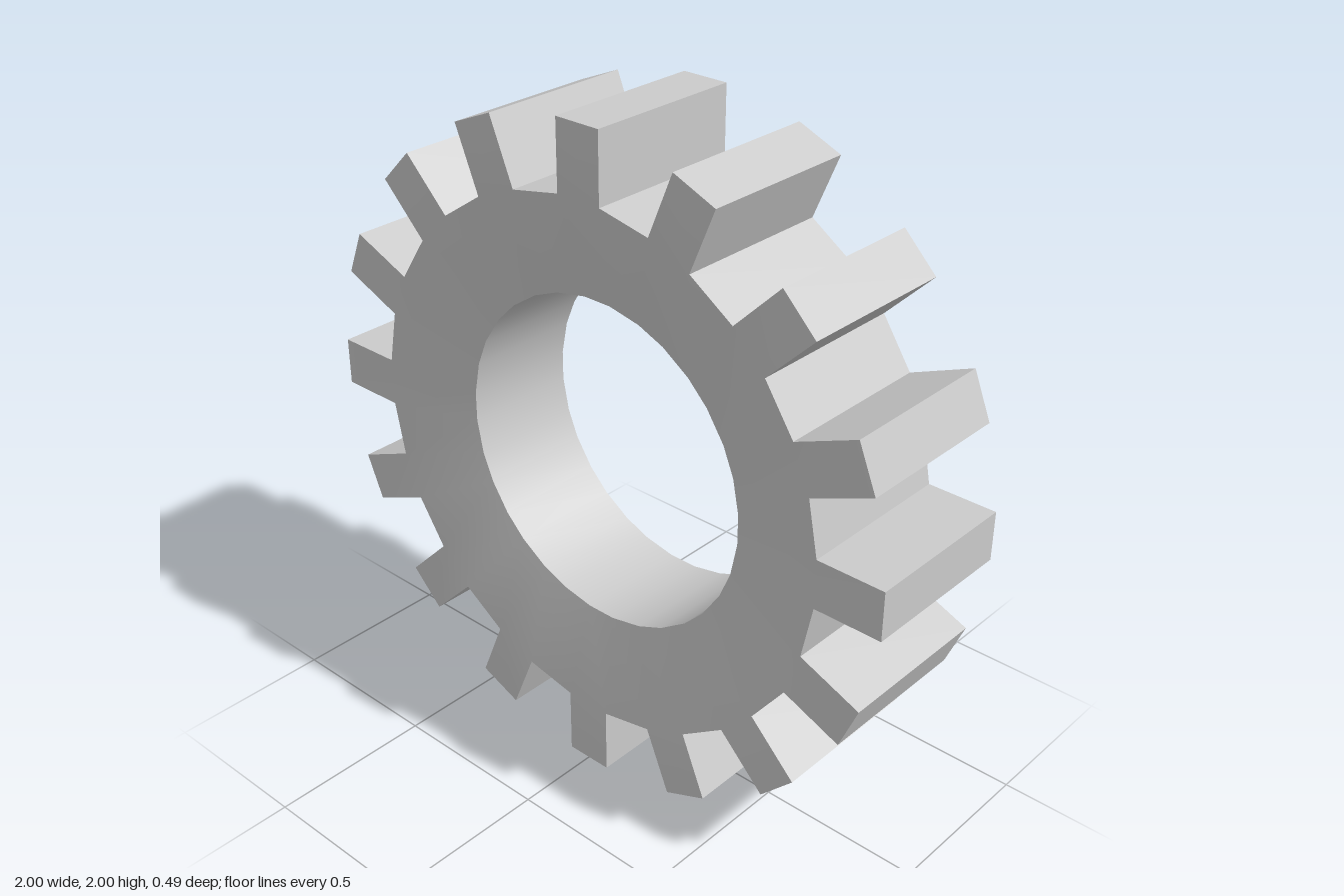
import * as THREE from 'three';
import { toCreasedNormals } from 'three/addons/utils/BufferGeometryUtils.js';

const TEETH = 16;
const TIP = 1, ROOT = 0.795, HALF_TOOTH = 0.073; // tooth radii and half width
const BORE = 0.498;                              // hole radius
const RIM_Z = 0.2425, BORE_Z = 0.18;             // half thickness at teeth and at hole

export function createModel() {
  const positions = [];
  const quad = (a, b, c, d) => {
    for (const p of [a, b, c, a, c, d]) positions.push(p.x, p.y, p.z);
  };
  const back = (p) => new THREE.Vector3(p.x, p.y, -p.z);
  // face on the front, mirrored onto the back
  const bothFaces = (a, b, c, d) => {
    quad(a, b, c, d);
    quad(back(d), back(c), back(b), back(a));
  };
  // wall from front to back between two neighbouring outline points
  const wall = (p, q) => quad(back(p), back(q), q, p);

  const rootAngle = Math.atan2(HALF_TOOTH, ROOT);
  const axis = new THREE.Vector3(0, 0, 1);

  // front corner points of one tooth segment
  const segment = (i) => {
    const angle = (i * Math.PI * 2) / TEETH;
    const point = (x, y, z) => new THREE.Vector3(x, y, z).applyAxisAngle(axis, angle);
    const bx = BORE * Math.cos(rootAngle), by = BORE * Math.sin(rootAngle);
    return {
      tip: [point(TIP, -HALF_TOOTH, RIM_Z), point(TIP, HALF_TOOTH, RIM_Z)],
      root: [point(ROOT, -HALF_TOOTH, RIM_Z), point(ROOT, HALF_TOOTH, RIM_Z)],
      bore: [point(bx, -by, BORE_Z), point(bx, by, BORE_Z)],
    };
  };

  for (let i = 0; i < TEETH; i++) {
    const s = segment(i), n = segment((i + 1) % TEETH);
    // tooth
    bothFaces(s.root[0], s.tip[0], s.tip[1], s.root[1]);
    wall(s.root[0], s.tip[0]);
    wall(s.tip[0], s.tip[1]);
    wall(s.tip[1], s.root[1]);
    // gap to the next tooth
    wall(s.root[1], n.root[0]);
    // dished faces between hole and teeth
    bothFaces(s.bore[0], s.root[0], s.root[1], s.bore[1]);
    bothFaces(s.bore[1], s.root[1], n.root[0], n.bore[0]);
    // hole wall
    wall(s.bore[1], s.bore[0]);
    wall(n.bore[0], s.bore[1]);
  }

  const geometry = new THREE.BufferGeometry();
  geometry.setAttribute('position', new THREE.Float32BufferAttribute(positions, 3));

  const gear = new THREE.Mesh(
    toCreasedNormals(geometry, 0.35),
    new THREE.MeshStandardMaterial({ color: 0xcccccc })
  );
  gear.name = 'gearWheel';
  gear.position.y = 1;

  const group = new THREE.Group();
  group.name = 'gear';
  group.add(gear);
  return group;
}
